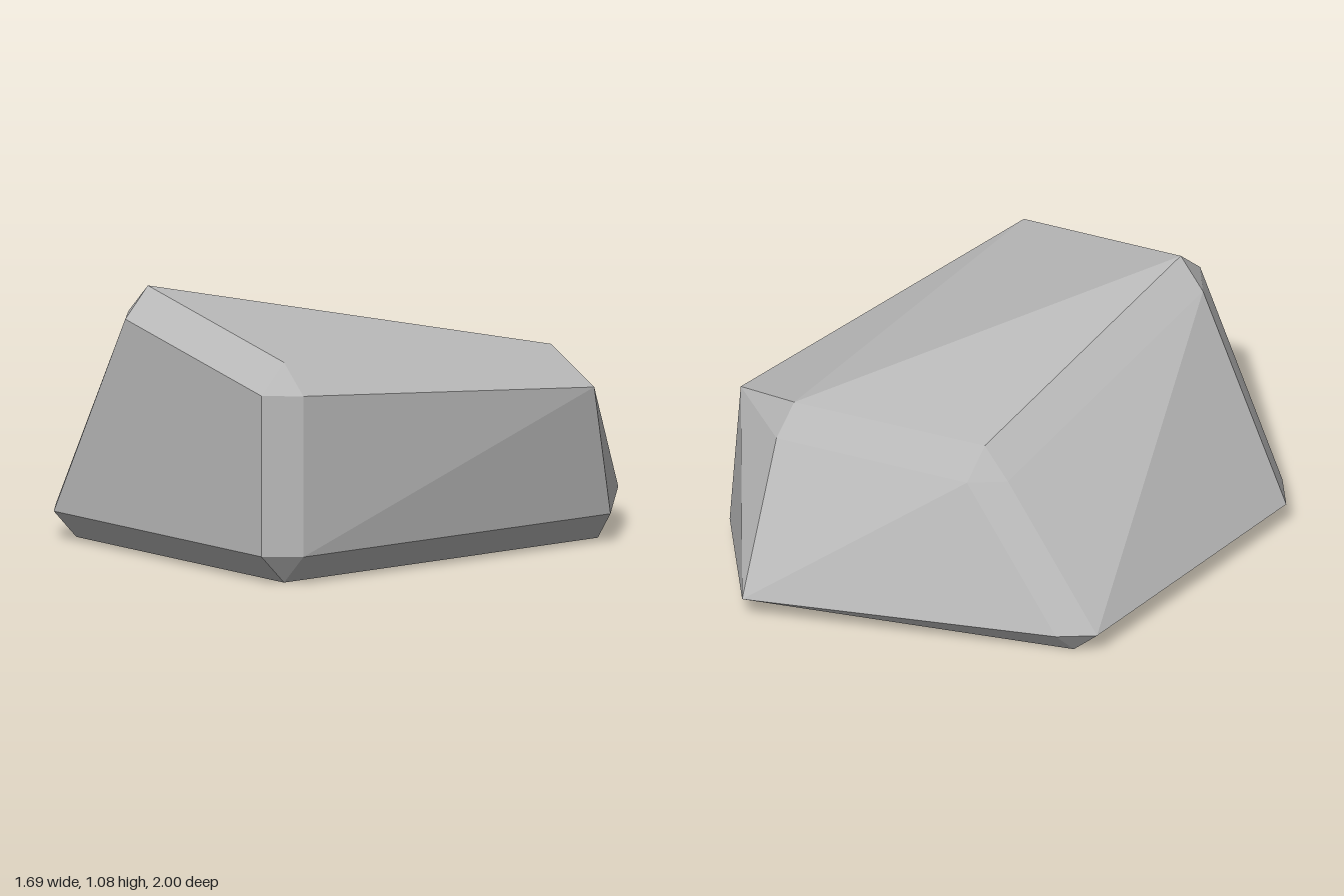
import * as THREE from 'three';
import { ConvexGeometry } from 'three/addons/geometries/ConvexGeometry.js';

export function createModel() {
  const group = new THREE.Group();
  group.name = 'rock';

  const stoneGrey = new THREE.MeshStandardMaterial({ color: 0xb8b8b8 });
  stoneGrey.name = 'stoneGrey';

  // Each chamfered corner: core point, then how far it reaches along x, y and z
  const corners = [
    // lower corners
    [-0.73, 0.12, 0.88, -0.12, -0.12, 0.12],
    [0.505, 0.12, 0.88, 0.115, -0.12, 0.12],
    [-0.73, 0.12, -0.29, -0.12, -0.12, -0.11],
    // upper corners
    [-0.305, 0.96, 0.88, -0.115, 0.12, 0.12],
    [0.505, 0.77, 0.88, 0.115, 0.12, 0.12],
    [-0.27, 0.66, -0.29, -0.12, 0.12, -0.11],
  ];
  const points = [];
  for (const [x, y, z, dx, dy, dz] of corners) {
    points.push(
      new THREE.Vector3(x + dx, y, z),
      new THREE.Vector3(x, y + dy, z),
      new THREE.Vector3(x, y, z + dz),
    );
  }

  // The two skewed corners at the back
  const skewed = [
    [0.78, 0.12, -0.61], [0.66, 0, -0.65], [0.39, 0.12, -1],
    [0.84, 0.66, -0.47], [0.505, 0.775, -0.54], [0.505, 0.66, -0.65],
  ];
  for (const p of skewed) points.push(new THREE.Vector3(...p));

  const boulder = new THREE.Mesh(new ConvexGeometry(points), stoneGrey);
  boulder.name = 'boulder';
  group.add(boulder);
  return group;
}
